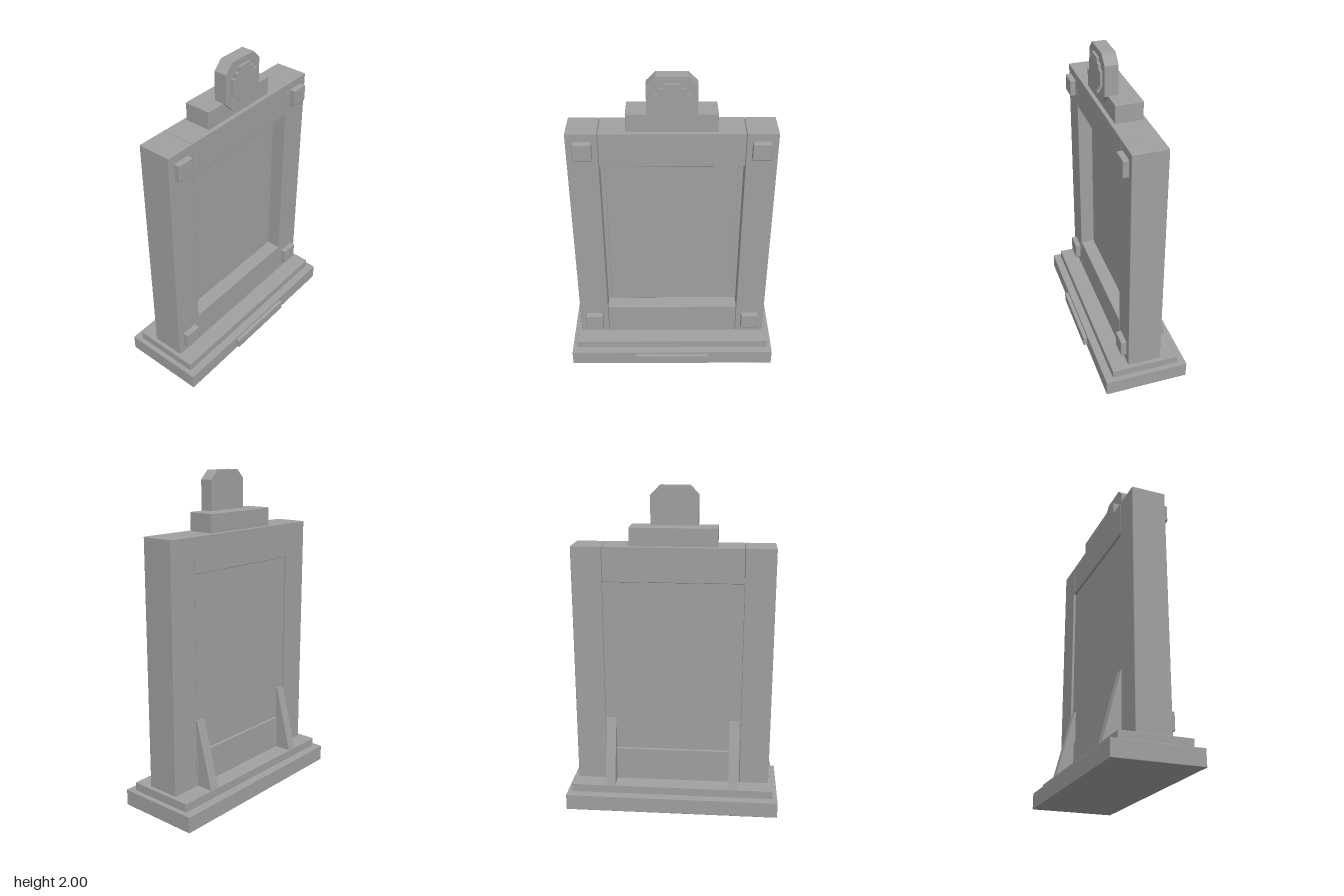
import * as THREE from 'three';
import { RoundedBoxGeometry } from 'three/addons/geometries/RoundedBoxGeometry.js';

export function createModel() {
  const model = new THREE.Group();
  const stone = new THREE.MeshStandardMaterial({ color: 0xa0a0a0 });
  stone.name = 'grey stone';

  const add = (name, geometry) => {
    const mesh = new THREE.Mesh(geometry, stone);
    mesh.name = name;
    model.add(mesh);
    return mesh;
  };

  // Block given by its limits, with a small edge bevel
  const block = (name, [x0, x1], [y0, y1], [z0, z1], bevel = 0.004) => {
    const size = [x1 - x0, y1 - y0, z1 - z0];
    const geometry = bevel
      ? new RoundedBoxGeometry(...size, 1, bevel)
      : new THREE.BoxGeometry(...size);
    geometry.translate((x0 + x1) / 2, (y0 + y1) / 2, (z0 + z1) / 2);
    return add(name, geometry);
  };

  // Flat outline extruded along z
  const plate = (name, points, z0, z1) => {
    const shape = new THREE.Shape(points.map(([x, y]) => new THREE.Vector2(x, y)));
    const geometry = new THREE.ExtrudeGeometry(shape, { depth: z1 - z0, bevelEnabled: false });
    geometry.translate(0, 0, z0);
    return add(name, geometry);
  };

  // Stepped base with a blank name plate
  block('base', [-0.665, 0.665], [0, 0.102], [-0.275, 0.253]);
  block('baseStep', [-0.635, 0.635], [0.098, 0.155], [-0.223, 0.203]);
  block('namePlate', [-0.238, 0.236], [0.025, 0.085], [0.24, 0.277], 0);

  // Rails and recessed panel
  block('topRail', [-0.424, 0.424], [1.443, 1.657], [-0.115, 0.095]);
  block('bottomRail', [-0.424, 0.424], [0.15, 0.365], [-0.115, 0.095]);
  block('backing', [-0.43, 0.43], [0.35, 1.46], [-0.1, 0], 0);
  block('panel', [-0.4, 0.4], [0.374, 1.435], [-0.02, 0.012], 0.003);

  // Pillars, corner studs and rear braces on both sides
  for (const side of [-1, 1]) {
    const span = (a, b) => (side > 0 ? [a, b] : [-b, -a]);
    block('pillar', span(0.426, 0.61), [0.15, 1.657], [-0.115, 0.095]);
    for (const y of [0.258, 1.552]) {
      block('cornerStud', span(0.46, 0.57), [y - 0.054, y + 0.054], [0.085, 0.13], 0.006);
    }

    // Right triangle drawn in the z-y plane, then turned to run along x
    const brace = new THREE.Shape([
      new THREE.Vector2(0.105, 0.15),
      new THREE.Vector2(0.222, 0.15),
      new THREE.Vector2(0.113, 0.57),
      new THREE.Vector2(0.105, 0.57),
    ]);
    const geometry = new THREE.ExtrudeGeometry(brace, { depth: 0.062, bevelEnabled: false });
    geometry.translate(0, 0, -0.031).rotateY(Math.PI / 2).translate(side * 0.388, 0, 0);
    add('rearBrace', geometry);
  }

  // Crown block
  block('crown', [-0.264, 0.262], [1.65, 1.768], [-0.095, 0.071]);

  // Medallion with cut corners
  const r = 0.144, c = 0.09, cy = 1.856;
  plate('medallion', [
    [-c, cy - r], [c, cy - r], [r, cy - c], [r, cy + c],
    [c, cy + r], [-c, cy + r], [-r, cy + c], [-r, cy - c],
  ], 0.012, 0.092);

  // Plain stepped disc on the medallion: one quarter, repeated by quarter turns
  const quarter = [[0.105, -0.048], [0.105, 0.048], [0.077, 0.048], [0.077, 0.077], [0.048, 0.077]];
  const steps = [];
  for (let i = 0; i < 4; i++) {
    for (const [x, y] of quarter) {
      const p = new THREE.Vector2(x, y).rotateAround(new THREE.Vector2(), (i * Math.PI) / 2);
      steps.push([p.x, p.y + cy]);
    }
  }
  plate('steppedDisc', steps, 0.088, 0.107);

  return model;
}
